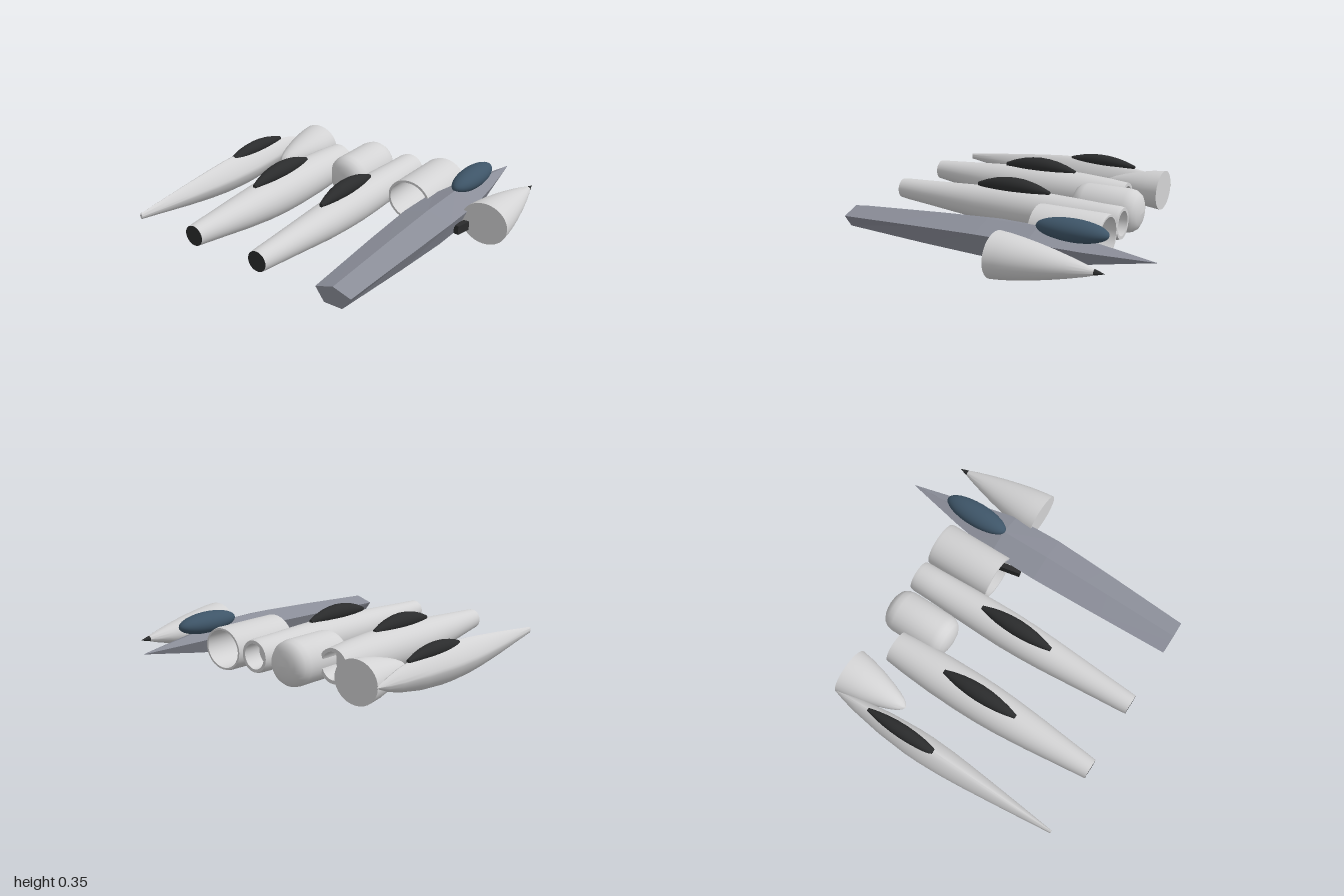
import * as THREE from 'three';
import { toCreasedNormals } from 'three/addons/utils/BufferGeometryUtils.js';

const mat = (name, color) => {
  const m = new THREE.MeshStandardMaterial({ color });
  m.name = name;
  return m;
};

// Cross-sections: lists of [x, y], counter-clockwise seen from the front
const curve = (power, n = 32) => Array.from({ length: n }, (_, i) => {
  const a = (i / n) * Math.PI * 2, c = Math.cos(a), s = Math.sin(a);
  return [Math.sign(c) * Math.abs(c) ** power, Math.sign(s) * Math.abs(s) ** power];
});
const ROUND = curve(1);
const LENS = curve(1.35);

// Joins rings of [x, y, z] points, running back to front, with optional caps
function skin(rings, { back = false, front = false, crease = 0.6 } = {}) {
  const n = rings[0].length, pos = [];
  const tri = (a, b, c) => pos.push(...a, ...b, ...c);
  for (let i = 0; i < rings.length - 1; i++) {
    for (let j = 0; j < n; j++) {
      const k = (j + 1) % n, p = rings[i], q = rings[i + 1];
      tri(p[j], p[k], q[j]);
      tri(p[k], q[k], q[j]);
    }
  }
  const cap = (ring, flip) => {
    const mid = [0, 1, 2].map(a => ring.reduce((s, p) => s + p[a], 0) / n);
    for (let j = 0; j < n; j++) {
      const k = (j + 1) % n;
      tri(mid, ring[flip ? k : j], ring[flip ? j : k]);
    }
  };
  if (back) cap(rings[0], true);
  if (front) cap(rings[rings.length - 1], false);
  const g = new THREE.BufferGeometry();
  g.setAttribute('position', new THREE.Float32BufferAttribute(pos, 3));
  return toCreasedNormals(g, crease);
}

// Each section is [z, half width, half height, centre y]
const loft = (sections, shape, options) => skin(
  sections.map(([z, w, h = w, y = 0.15]) => shape.map(([a, b]) => [a * w, y + b * h, z])), options);

export function createModel() {
  const model = new THREE.Group();
  const white = mat('pale shell', 0xd3d3d4);
  const dark = mat('dark trim', 0x2b2c2d);
  const grey = mat('grey hull', 0x8b8e99);
  const blue = mat('blue glass', 0x3e5568);

  const add = (name, geometry, material, x, y = 0, z = 0) => {
    const mesh = new THREE.Mesh(geometry, material);
    mesh.name = name;
    mesh.position.set(x, y, z);
    model.add(mesh);
    return mesh;
  };

  // Spindle canopy with blunt ends
  const canopy = (name, x, y, z, r, len) => {
    const rings = [-1, -0.75, -0.5, -0.25, 0, 0.25, 0.5, 0.75, 1]
      .map(t => [z + t * len / 2, r * (1 - 0.75 * t * t), r * (1 - 0.75 * t * t), y - 0.02 * t * t]);
    add(name, loft(rings, curve(1, 16), { back: true, front: true }), dark, x);
  };

  // Slender fuselage with a lens-shaped section
  add('slenderFuselage', loft([
    [-0.59, 0.002, 0.003], [-0.5, 0.026, 0.04], [-0.4, 0.046, 0.07], [-0.2, 0.075, 0.104],
    [0, 0.089, 0.119], [0.1, 0.09, 0.12], [0.25, 0.084, 0.114], [0.4, 0.072, 0.1, 0.152],
    [0.6, 0.052, 0.076, 0.157], [0.8, 0.031, 0.048, 0.164], [1, 0.009, 0.02, 0.17],
  ], LENS, { front: true }), white, -0.9);
  canopy('slenderCanopy', -0.9, 0.26, -0.055, 0.044, 0.53);

  // Round fuselages with a recessed tail opening and a dark nose disc
  const roundFuselage = (name, x, noseY, tail, sections) => {
    const [z, r] = tail, inner = r * 0.8;
    add(name, loft([[z + 0.12, inner], [z, inner], [z, r], ...sections], ROUND, { back: true }), white, x);
    const noseR = sections[sections.length - 1][1];
    add(name + 'Nose', new THREE.CircleGeometry(noseR, 32), dark, x, noseY, 1);
  };
  roundFuselage('wideFuselage', -0.455, 0.175, [-0.435, 0.107], [
    [-0.3, 0.12], [-0.1, 0.132], [0.1, 0.136], [0.25, 0.134], [0.4, 0.126, 0.126, 0.152],
    [0.6, 0.108, 0.108, 0.158], [0.8, 0.086, 0.086, 0.167], [0.96, 0.069, 0.069, 0.174],
    [1, 0.064, 0.064, 0.175],
  ]);
  canopy('wideCanopy', -0.455, 0.302, 0.2, 0.053, 0.52);
  roundFuselage('longFuselage', 0.027, 0.165, [-0.595, 0.098], [
    [-0.57, 0.104], [-0.45, 0.106], [-0.25, 0.114], [-0.05, 0.12], [0.1, 0.122], [0.25, 0.118],
    [0.4, 0.11], [0.6, 0.095, 0.095, 0.155], [0.8, 0.08, 0.08, 0.16], [0.96, 0.069, 0.069, 0.164],
    [1, 0.064, 0.064, 0.165],
  ]);
  canopy('longCanopy', 0.027, 0.293, 0.155, 0.052, 0.51);

  // Loose nose cone pointing forward
  add('forwardCone', loft([
    [-0.585, 0.153, 0.132], [-0.5, 0.141, 0.123], [-0.4, 0.118, 0.104], [-0.3, 0.087, 0.078],
    [-0.235, 0.062, 0.056], [-0.19, 0.04, 0.036], [-0.17, 0.023, 0.021], [-0.155, 0.001, 0.001],
  ], ROUND, { back: true }), white, -0.75);

  // Drum with domed ends
  add('domedDrum', loft([
    [-0.63, 0.001], [-0.624, 0.05], [-0.613, 0.085], [-0.597, 0.115], [-0.57, 0.134], [-0.53, 0.142],
    [-0.25, 0.142], [-0.215, 0.135], [-0.185, 0.115], [-0.168, 0.085], [-0.158, 0.045], [-0.155, 0.001],
  ], ROUND), white, -0.235, -0.002);

  // Open sleeve
  add('openSleeve', loft([
    [-0.155, 0.138, 0.122], [-0.605, 0.134, 0.118], [-0.605, 0.147, 0.13], [-0.585, 0.152, 0.135],
    [-0.155, 0.154, 0.137], [-0.155, 0.138, 0.122],
  ], ROUND), white, 0.292);

  // Faceted hull: [z, half width, side y, ridge y, floor half width, floor y]
  const hull = [
    [-1, 0.001, 0.15, 0.151, 0.001, 0.149], [-0.6, 0.092, 0.172, 0.205, 0.055, 0.088],
    [-0.28, 0.153, 0.196, 0.248, 0.09, 0.048], [0.05, 0.16, 0.198, 0.245, 0.092, 0.045],
    [0.45, 0.144, 0.182, 0.225, 0.08, 0.055], [1, 0.117, 0.155, 0.192, 0.06, 0.075],
  ].map(([z, w, sy, top, fw, fy]) => [[w, sy, z], [0, top, z], [-w, sy, z], [-fw, fy, z], [fw, fy, z]]);
  add('facetedHull', skin(hull, { front: true, crease: 0.02 }), grey, 0.555);
  const glass = add('hullCanopy', new THREE.SphereGeometry(1, 32, 20), blue, 0.555, 0.258, -0.495);
  glass.scale.set(0.08, 0.067, 0.225);
  for (const side of [-1, 1]) {
    const intake = add(side > 0 ? 'leftIntake' : 'rightIntake',
      new THREE.BoxGeometry(0.035, 0.057, 0.15), dark, 0.555 + side * 0.152, 0.107, -0.135);
    intake.rotation.y = -side * 0.2;
  }

  // Loose cone pointing backward, with a dark tip
  add('backwardCone', loft([
    [-0.75, 0.019, 0.017], [-0.7, 0.037, 0.033], [-0.6, 0.067, 0.059], [-0.5, 0.094, 0.082],
    [-0.4, 0.117, 0.102], [-0.3, 0.137, 0.119], [-0.22, 0.149, 0.13], [-0.155, 0.155, 0.135],
  ], ROUND, { front: true }), white, 0.83);
  add('backwardConeTip', loft([[-0.81, 0.001, 0.001], [-0.75, 0.019, 0.017]], ROUND), dark, 0.83);

  return model;
}
